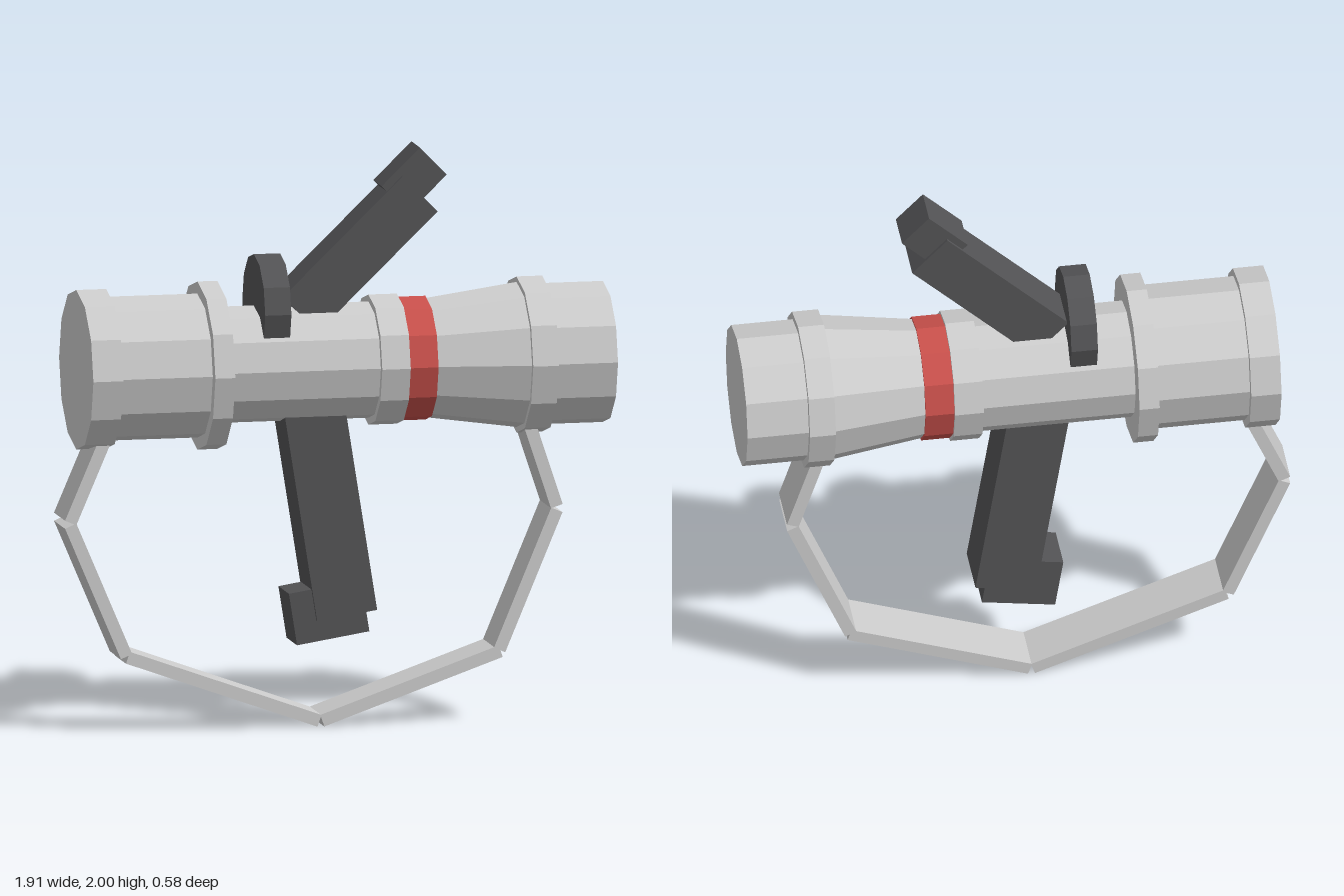
import * as THREE from 'three';

export function createModel() {
  const model = new THREE.Group();
  model.name = 'shoulderLauncher';

  const mat = (name, color) => {
    const m = new THREE.MeshStandardMaterial({ color, flatShading: true });
    m.name = name;
    return m;
  };
  const lightGrey = mat('lightGrey', 0xcccccc);
  const darkGrey = mat('darkGrey', 0x535355);
  const red = mat('red', 0xc8504b);

  const add = (name, geometry, material, x, y, angle = 0) => {
    const mesh = new THREE.Mesh(geometry, material);
    mesh.name = name;
    mesh.position.set(x, y, 0);
    mesh.rotation.z = angle;
    model.add(mesh);
    return mesh;
  };

  // Twelve-sided section lying along x, from x0 (radius r0) to x1 (radius r1)
  const section = (name, x0, x1, r0, r1, material, y) => {
    const g = new THREE.CylinderGeometry(r0, r1, x1 - x0, 12).rotateZ(Math.PI / 2);
    add(name, g, material, (x0 + x1) / 2, y);
  };

  // Barrel, collars and painted band
  const axisY = 1.26;
  [
    ['rearRim', -0.895, -0.79, 0.277, 0.277, lightGrey],
    ['rearBarrel', -0.79, -0.47, 0.25, 0.25, lightGrey],
    ['rearCollar', -0.47, -0.4, 0.292, 0.292, lightGrey],
    ['mainTube', -0.4, 0.13, 0.202, 0.202, lightGrey],
    ['middleCollar', 0.13, 0.23, 0.226, 0.226, lightGrey],
    ['redBand', 0.23, 0.33, 0.215, 0.215, red],
    ['flaredBarrel', 0.33, 0.65, 0.207, 0.252, lightGrey],
    ['frontCollar', 0.65, 0.74, 0.271, 0.271, lightGrey],
    ['muzzle', 0.74, 0.953, 0.245, 0.245, lightGrey],
  ].forEach(([name, x0, x1, r0, r1, m]) => section(name, x0, x1, r0, r1, m, axisY));

  // Sight: upright disc with a slanted arm and a smaller eyepiece
  section('sightDisc', -0.272, -0.18, 0.185, 0.185, darkGrey, 1.455);
  const slant = THREE.MathUtils.degToRad(44);
  add('sightArm', new THREE.BoxGeometry(0.584, 0.176, 0.158), darkGrey, 0.085, 1.64, slant);
  add('sightEyepiece', new THREE.BoxGeometry(0.187, 0.135, 0.138), darkGrey, 0.276, 1.888, slant);

  // Leaning grip with a foot block; the top is sunk into the tube
  const lean = THREE.MathUtils.degToRad(9);
  add('grip', new THREE.BoxGeometry(0.213, 0.8, 0.195), darkGrey, -0.028, 0.784, lean);
  add('gripFoot', new THREE.BoxGeometry(0.257, 0.182, 0.17), darkGrey, -0.026, 0.4, lean);

  // Carrying strap: flat straight pieces hung between the rear rim and front collar
  const strap = [
    [-0.815, 1.02, -0.934, 0.743], [-0.934, 0.732, -0.738, 0.272],
    [-0.733, 0.268, -0.061, 0.026], [-0.051, 0.026, 0.575, 0.246],
    [0.571, 0.25, 0.772, 0.73], [0.772, 0.743, 0.677, 1.03],
  ];
  strap.forEach(([x0, y0, x1, y1], i) => {
    const length = Math.hypot(x1 - x0, y1 - y0);
    add('strapPiece' + (i + 1), new THREE.BoxGeometry(length, 0.043, 0.18), lightGrey,
      (x0 + x1) / 2, (y0 + y1) / 2, Math.atan2(y1 - y0, x1 - x0));
  });

  return model;
}
